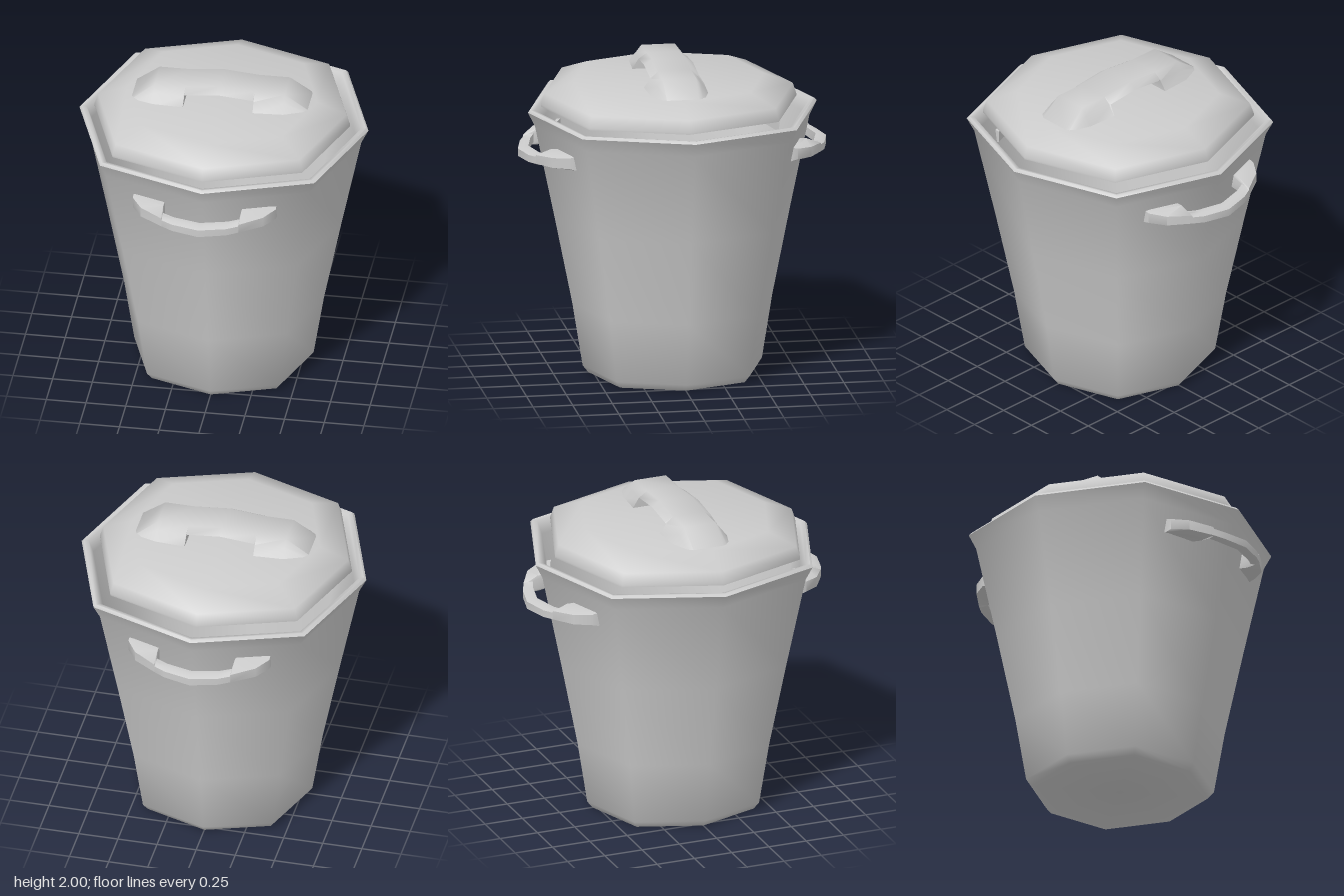
import * as THREE from 'three';
import { toCreasedNormals } from 'three/addons/utils/BufferGeometryUtils.js';

const material = new THREE.MeshStandardMaterial({ color: 0xcccccc, side: THREE.DoubleSide });

function makeMesh(name, geometry) {
  const mesh = new THREE.Mesh(toCreasedNormals(geometry, 1.1), material);
  mesh.name = name;
  return mesh;
}

// Eight-sided turned shell whose diagonal corners stand slightly further out
function octagonShell(name, profile) {
  const geometry = new THREE.LatheGeometry(profile.map(([r, y]) => new THREE.Vector2(r, y)), 8);
  const p = geometry.attributes.position;
  for (let i = 0; i < p.count; i++) {
    const x = p.getX(i), z = p.getZ(i);
    const diagonal = Math.min(Math.abs(x), Math.abs(z)) > 0.01;
    const k = diagonal ? 1.048 : 1;
    p.setXYZ(i, x * k, p.getY(i), z * k);
  }
  return makeMesh(name, geometry);
}

// Skin over rings lying across x; half = sections from x = 0 outwards, mirrored
// Each section: { x, ring: [[z, y], ...] } running front bottom, front top, back top, back bottom
function mirroredLoft(name, half) {
  const sections = [...half.slice(1).reverse().map(s => ({ x: -s.x, ring: s.ring })), ...half];
  const n = half[0].ring.length;
  const positions = sections.flatMap(s => s.ring.flatMap(([z, y]) => [s.x, y, z]));
  const index = [];
  for (let s = 0; s < sections.length - 1; s++) {
    for (let i = 0; i < n; i++) {
      const a = s * n + i, b = s * n + (i + 1) % n;
      index.push(a, a + n, b + n, a, b + n, b);
    }
  }
  const last = (sections.length - 1) * n;
  for (let i = 1; i < n - 1; i++) {
    index.push(0, i, i + 1, last, last + i + 1, last + i);
  }
  const geometry = new THREE.BufferGeometry();
  geometry.setAttribute('position', new THREE.Float32BufferAttribute(positions, 3));
  geometry.setIndex(index);
  return makeMesh(name, geometry);
}

// Lid grip section: top half-width and height, widest part, underside
function gripSection(x, topW, topY, midW, midY, lowW, lowY) {
  return { x, ring: [[lowW, lowY], [midW, midY], [topW, topY], [-topW, topY], [-midW, midY], [-lowW, lowY]] };
}

// Side handle section: inner and outer z, bottom and top y, outer edge dropped
function handleSection(x, inner, outer, low, high, drop = 0.015) {
  const mid = (inner + outer) / 2;
  return {
    x,
    ring: [[mid, low], [outer, low + 0.012], [outer, high - drop], [mid, high], [inner, high], [inner, low + 0.015]],
  };
}

export function createModel() {
  const group = new THREE.Group();
  group.name = 'lidded bin';

  // Tapered bucket with flared rim and inner wall
  group.add(octagonShell('body', [
    [0, 0], [0.53, 0], [0.565, 0.045], [0.63, 0.45], [0.74, 1.0], [0.865, 1.6],
    [0.91, 1.69], [0.895, 1.707], [0.865, 1.7], [0.835, 1.62], [0.72, 1.0], [0.55, 0.06], [0, 0.06],
  ]));

  // Lid, resting just above the rim
  const lid = new THREE.Group();
  lid.name = 'lid';
  lid.position.set(-0.007, 0, 0.022);
  lid.add(octagonShell('lidPlate', [
    [0, 1.725], [0.805, 1.725], [0.805, 1.738], [0.782, 1.808], [0.6, 1.88], [0, 1.88],
  ]));
  lid.add(mirroredLoft('lidGrip', [
    gripSection(0, 0.105, 2.0, 0.155, 1.965, 0.11, 1.95),
    gripSection(0.215, 0.105, 1.98, 0.155, 1.945, 0.11, 1.92),
    gripSection(0.22, 0.105, 1.98, 0.15, 1.935, 0.2, 1.87),
    gripSection(0.41, 0.105, 1.98, 0.14, 1.935, 0.19, 1.87),
    gripSection(0.56, 0.1, 1.875, 0.13, 1.865, 0.16, 1.85),
  ]));
  group.add(lid);

  // Curved carrying handles, front and back
  for (const [name, angle] of [['frontHandle', 0], ['backHandle', Math.PI]]) {
    const handle = mirroredLoft(name, [
      handleSection(0, 0.905, 0.972, 1.4, 1.475),
      handleSection(0.17, 0.865, 0.932, 1.405, 1.477),
      handleSection(0.24, 0.835, 0.9, 1.412, 1.483),
      handleSection(0.245, 0.71, 0.897, 1.412, 1.515, 0.035),
      handleSection(0.385, 0.66, 0.815, 1.42, 1.515, 0.02),
      handleSection(0.45, 0.63, 0.72, 1.425, 1.515, 0.01),
    ]);
    handle.position.x = -0.01;
    handle.rotation.y = angle;
    group.add(handle);
  }

  return group;
}
